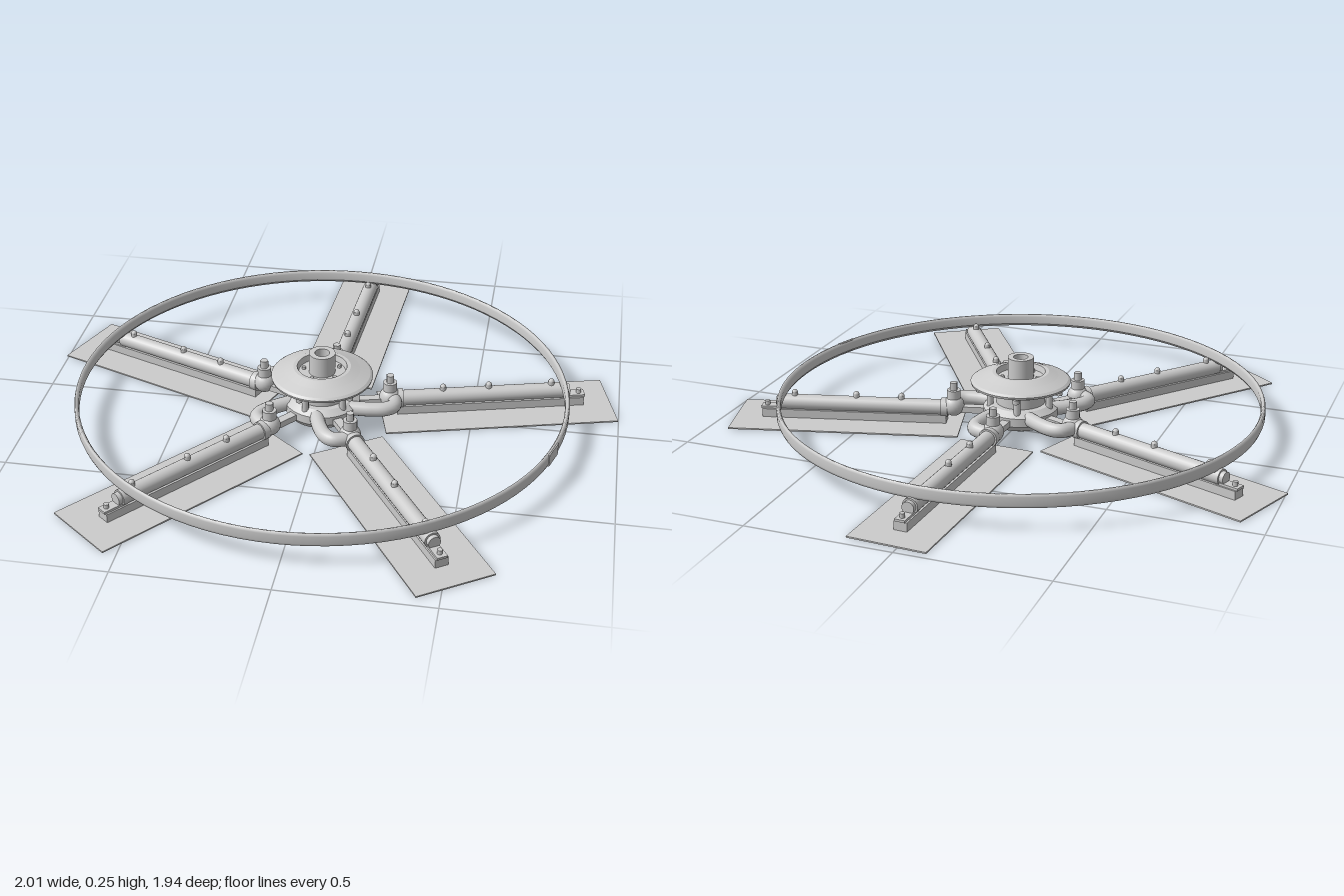
import * as THREE from 'three';

const mat = new THREE.MeshStandardMaterial({ color: 0xcccccc, side: THREE.DoubleSide });

function add(parent, name, geometry, x = 0, y = 0, z = 0) {
  const mesh = new THREE.Mesh(geometry, mat);
  mesh.name = name;
  mesh.position.set(x, y, z);
  parent.add(mesh);
  return mesh;
}

// Revolved profile of [radius, height] points, with a crisp edge at each corner
function turned(points, segments = 48) {
  const group = [];
  for (const p of points) group.push(new THREE.Vector2(p[0], p[1]));
  const g = new THREE.LatheGeometry(group, segments);
  return g;
}

function turnedPart(parent, name, points, segments = 48) {
  const part = new THREE.Group();
  part.name = name;
  for (let i = 0; i < points.length - 1; i++) {
    add(part, name + 'Face', turned([points[i], points[i + 1]], segments));
  }
  parent.add(part);
  return part;
}

const cyl = (r, h, n = 16, r2 = r) => new THREE.CylinderGeometry(r, r2, h, n);

// Cylinder lying along the arm
function rod(parent, name, r, x0, x1, y, z = 0, n = 24) {
  const m = add(parent, name, cyl(r, x1 - x0, n), (x0 + x1) / 2, y, z);
  m.rotation.z = -Math.PI / 2;
  return m;
}

// Thin sheet with a row of small holes opening into the channel
function bladeGeometry() {
  const s = new THREE.Shape();
  s.moveTo(0.206, -0.134);
  s.lineTo(1.012, -0.134);
  s.lineTo(1.012, 0.134);
  s.lineTo(0.206, 0.134);
  s.closePath();
  for (let i = 0; i < 7; i++) {
    const hole = new THREE.Path();
    hole.absarc(0.33 + i * 0.085, 0, 0.009, 0, Math.PI * 2, true);
    s.holes.push(hole);
  }
  const g = new THREE.ExtrudeGeometry(s, { depth: 0.005, bevelEnabled: false, curveSegments: 8 });
  g.rotateX(-Math.PI / 2);
  return g;
}

function createArm() {
  const arm = new THREE.Group();
  arm.name = 'arm';
  add(arm, 'blade', bladeGeometry());

  // Raised channel on the sheet, with the feed tube above it
  add(arm, 'channel', new THREE.BoxGeometry(0.655, 0.03, 0.045), 0.588, 0.02, 0);
  rod(arm, 'armTube', 0.027, 0.25, 0.85, 0.058);
  rod(arm, 'innerCollar', 0.033, 0.255, 0.28, 0.058);
  rod(arm, 'endCap', 0.021, 0.85, 0.865, 0.058);
  add(arm, 'endTab', new THREE.BoxGeometry(0.09, 0.008, 0.036), 0.875, 0.04, 0);
  add(arm, 'endTabScrew', cyl(0.009, 0.018, 8), 0.9, 0.05, 0);

  // Rivets along the tube
  for (const x of [0.42, 0.58, 0.8]) {
    add(arm, 'rivet', cyl(0.011, 0.016, 10), x, 0.088, 0);
    add(arm, 'rivetHead', new THREE.SphereGeometry(0.011, 10, 6), x, 0.094, 0);
  }

  // Joint with its upright bolt
  add(arm, 'joint', new THREE.SphereGeometry(0.037, 20, 14), 0.235, 0.066, 0);
  add(arm, 'jointNeck', cyl(0.024, 0.04, 16), 0.235, 0.105, 0);
  add(arm, 'jointBolt', cyl(0.014, 0.03, 6), 0.235, 0.137, 0);

  // Bent pipe from the joint into the side of the hub
  const path = new THREE.CatmullRomCurve3([
    [0.245, 0.062, 0], [0.247, 0.064, 0.035], [0.238, 0.066, 0.064],
    [0.21, 0.066, 0.078], [0.16, 0.066, 0.076], [0.09, 0.066, 0.06],
  ].map((p) => new THREE.Vector3(...p)));
  add(arm, 'elbowPipe', new THREE.TubeGeometry(path, 32, 0.025, 16));
  // Short lug tying the arm to the hub
  add(arm, 'hubLug', new THREE.BoxGeometry(0.1, 0.022, 0.03), 0.17, 0.055, 0);
  return arm;
}

function createHub() {
  const hub = new THREE.Group();
  hub.name = 'hub';
  // Lower bowl with a hollow centre
  turnedPart(hub, 'lowerBowl', [
    [0.028, 0.02], [0.05, 0.012], [0.085, 0.012], [0.115, 0.025],
    [0.13, 0.045], [0.13, 0.075], [0.105, 0.092], [0.028, 0.092],
  ]);
  turnedPart(hub, 'neck', [[0.085, 0.09], [0.085, 0.135], [0.12, 0.14], [0.12, 0.158]]);
  // Upper cap: flat rim, sloped shoulder and a recessed centre
  turnedPart(hub, 'cap', [
    [0.028, 0.152], [0.135, 0.148], [0.172, 0.162], [0.174, 0.17], [0.165, 0.177],
    [0.13, 0.19], [0.098, 0.203], [0.085, 0.203], [0.08, 0.182], [0.028, 0.182],
  ]);
  // Hollow shaft open from top to bottom
  turnedPart(hub, 'shaft', [
    [0.025, 0], [0.028, 0], [0.028, 0.178], [0.045, 0.178],
    [0.045, 0.255], [0.025, 0.255], [0.025, 0],
  ], 32);
  // Spacers and screws between bowl and cap
  for (let i = 0; i < 5; i++) {
    const a = 0.7 + (i * Math.PI * 2) / 5;
    const c = Math.cos(a), s = Math.sin(a);
    add(hub, 'spacer', cyl(0.012, 0.075, 10), 0.108 * c, 0.118, 0.108 * s);
    add(hub, 'rimScrew', cyl(0.012, 0.016, 6), 0.145 * c, 0.145, 0.145 * s);
    add(hub, 'recessScrew', cyl(0.007, 0.012, 6), 0.064 * c, 0.186, 0.064 * s);
  }
  return hub;
}

export function createModel() {
  const model = new THREE.Group();
  model.name = 'fiveArmRotor';
  const body = new THREE.Group();
  body.name = 'rotor';
  body.position.set(-0.013, 0, 0.043);
  model.add(body);

  body.add(createHub());

  // Five arms, evenly spaced
  for (let i = 0; i < 5; i++) {
    const arm = createArm();
    arm.rotation.y = THREE.MathUtils.degToRad(15.1 + 72 * i);
    body.add(arm);
  }

  // Tall, thin hoop resting on the arms, with an overlap clip
  add(body, 'hoop', turned([
    [0.828, 0.09], [0.834, 0.081], [0.84, 0.081], [0.843, 0.09],
    [0.843, 0.117], [0.84, 0.126], [0.834, 0.126], [0.828, 0.117], [0.828, 0.09],
  ], 96));
  const a = 0.31;
  const clip = add(body, 'hoopClip', new THREE.BoxGeometry(0.012, 0.043, 0.08),
    0.838 * Math.cos(a), 0.1035, 0.838 * Math.sin(a));
  clip.rotation.y = -a;
  return model;
}
